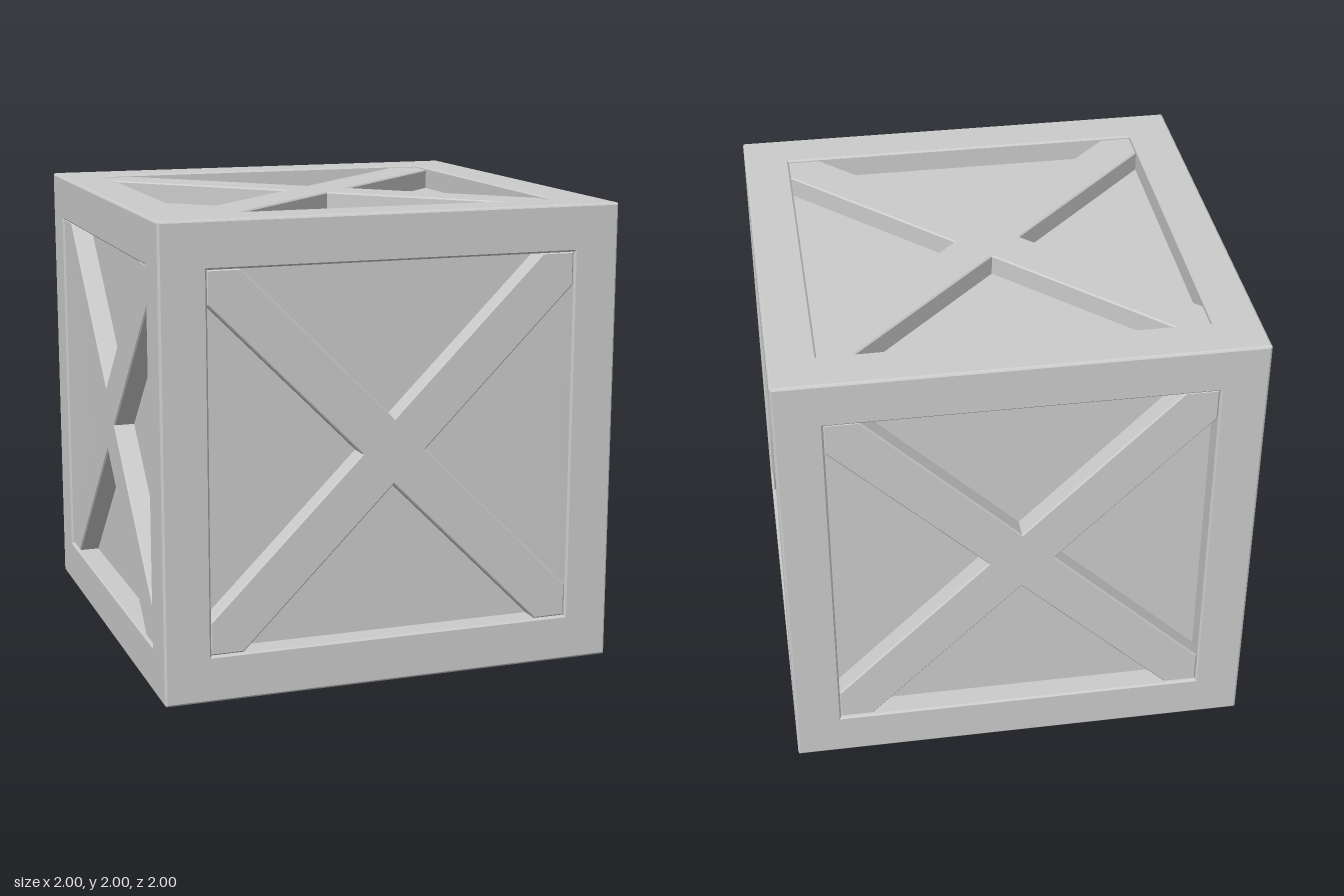
import * as THREE from 'three';

export function createModel() {
  const model = new THREE.Group();
  model.name = 'crate';
  const material = new THREE.MeshStandardMaterial({ color: 0xcccccc, flatShading: true });

  // Square frame and sunken panel: a four-sided lathe, from the outer bevel to the panel centre
  const profile = [
    [0.996, 0.996], [0.99, 1], [0.808, 1], [0.8, 0.992], [0.8, 0.9], [0, 0.9],
  ].map(([halfSide, height]) => new THREE.Vector2(halfSide * Math.SQRT2, height));
  const frameGeometry = new THREE.LatheGeometry(profile, 4).rotateY(Math.PI / 4);

  // Crossed braces: one arm outline repeated for each corner, with a fine bevel
  const bevel = 0.006, half = 0.8 - bevel, notch = 0.141 - bevel * Math.SQRT2;
  const outline = [];
  for (let i = 0; i < 4; i++) {
    const arm = [[notch, 0], [half, half - notch], [half, half], [half - notch, half]];
    for (const [x, y] of arm) {
      outline.push(new THREE.Vector2(x, y).rotateAround(new THREE.Vector2(), i * Math.PI / 2));
    }
  }
  const braceGeometry = new THREE.ExtrudeGeometry(new THREE.Shape(outline), {
    depth: 0.084, bevelEnabled: true, bevelSize: bevel, bevelThickness: bevel, bevelSegments: 1,
  });
  braceGeometry.translate(0, 0, 0.9).rotateX(-Math.PI / 2);

  // Six equal sides turned about the crate's centre
  const q = Math.PI / 2;
  const sides = {
    top: [0, 0], bottom: [2 * q, 0], front: [q, 0], back: [-q, 0], left: [0, -q], right: [0, q],
  };
  for (const [name, [rx, rz]] of Object.entries(sides)) {
    const side = new THREE.Group();
    side.name = name + 'Side';
    const frame = new THREE.Mesh(frameGeometry, material);
    frame.name = name + 'FrameAndPanel';
    const brace = new THREE.Mesh(braceGeometry, material);
    brace.name = name + 'CrossBrace';
    side.add(frame, brace);
    side.rotation.set(rx, 0, rz);
    side.position.y = 1;
    side.scale.setScalar(1);
    model.add(side);
  }
  return model;
}
